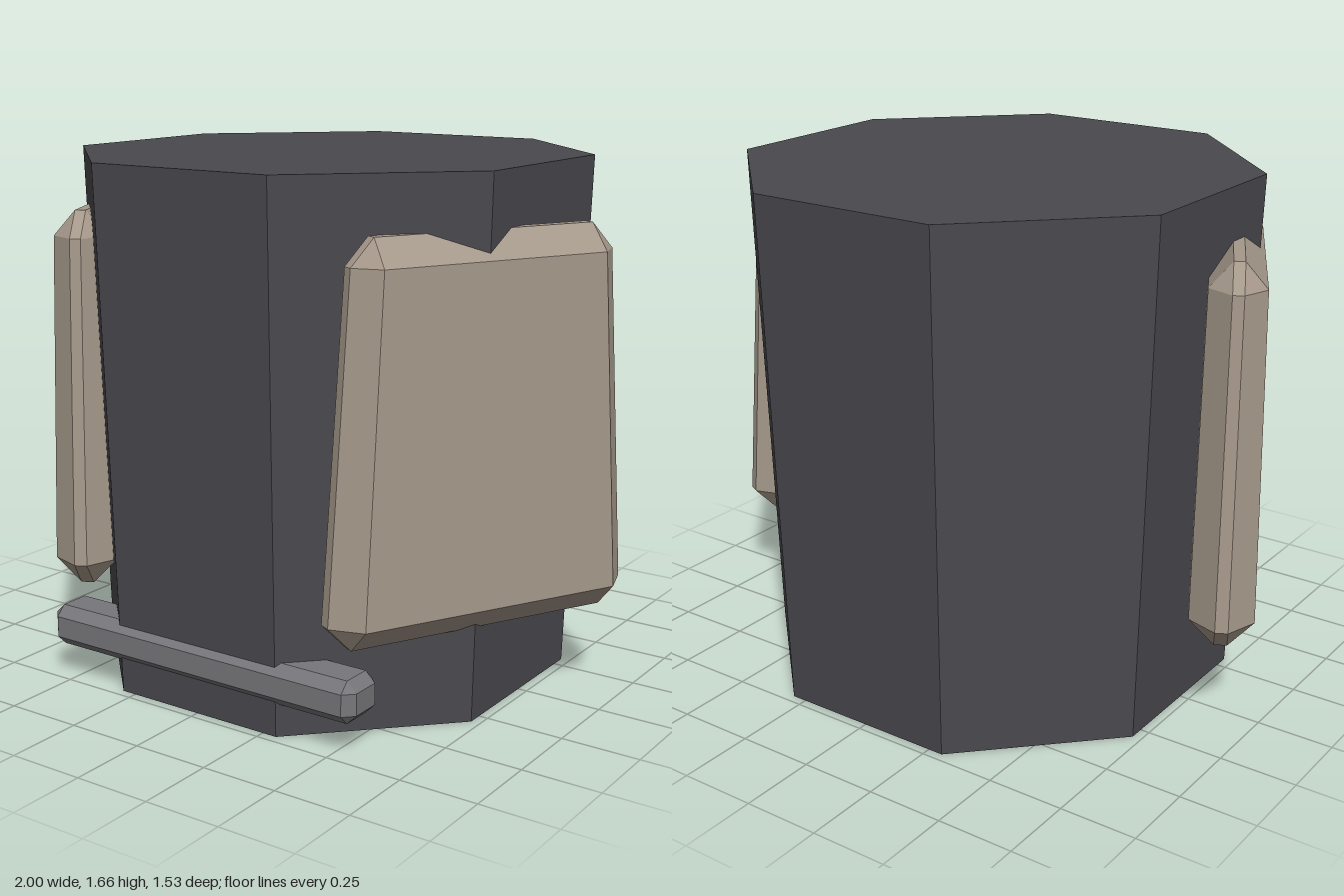
import * as THREE from 'three';
import { ConvexGeometry } from 'three/addons/geometries/ConvexGeometry.js';

const material = (name, color) => {
  const m = new THREE.MeshStandardMaterial({ color, flatShading: true });
  m.name = name;
  return m;
};

// Box with bevelled edges and cut corners; topScale narrows it towards the top
function bevelledBox(w, h, d, bevel, topScale = 1) {
  const half = [w / 2, h / 2, d / 2];
  const points = [];
  for (const sx of [-1, 1]) for (const sy of [-1, 1]) for (const sz of [-1, 1]) {
    for (let axis = 0; axis < 3; axis++) {
      const [x, y, z] = half.map((v, i) => (i === axis ? v : v - bevel));
      const inner = half[1] - bevel;
      const s = 1 + (topScale - 1) * (sy * y + inner) / (2 * inner);
      points.push(new THREE.Vector3(sx * x * s, sy * y, sz * z * s));
    }
  }
  return new ConvexGeometry(points);
}

export function createModel() {
  const group = new THREE.Group();
  const charcoal = material('charcoal', 0x4a494e);
  const taupe = material('taupe', 0xa6998b);
  const steel = material('steel grey', 0x77777b);

  const add = (name, geometry, mat, x, y, z) => {
    const mesh = new THREE.Mesh(geometry, mat);
    mesh.name = name;
    mesh.position.set(x, y, z);
    group.add(mesh);
    return mesh;
  };

  // Eight-sided body, slightly wider at the top, flat side to the front
  const body = new THREE.CylinderGeometry(0.83, 0.78, 1.66, 8);
  body.rotateY(Math.PI / 8);
  add('body', body, charcoal, 0, 0.83, 0);

  // Tapered plates angled around the front corners
  const plate = bevelledBox(0.2, 1.19, 1.02, 0.08, 0.86);
  for (const side of [-1, 1]) {
    const mesh = add(side > 0 ? 'leftPlate' : 'rightPlate', plate, taupe, side * 0.709, 0.895, 0.264);
    mesh.rotation.y = -side * 0.489;
  }

  // Bar across the lower front
  add('frontBar', bevelledBox(1.16, 0.132, 0.16, 0.032), steel, 0, 0.169, 0.666);

  return group;
}
